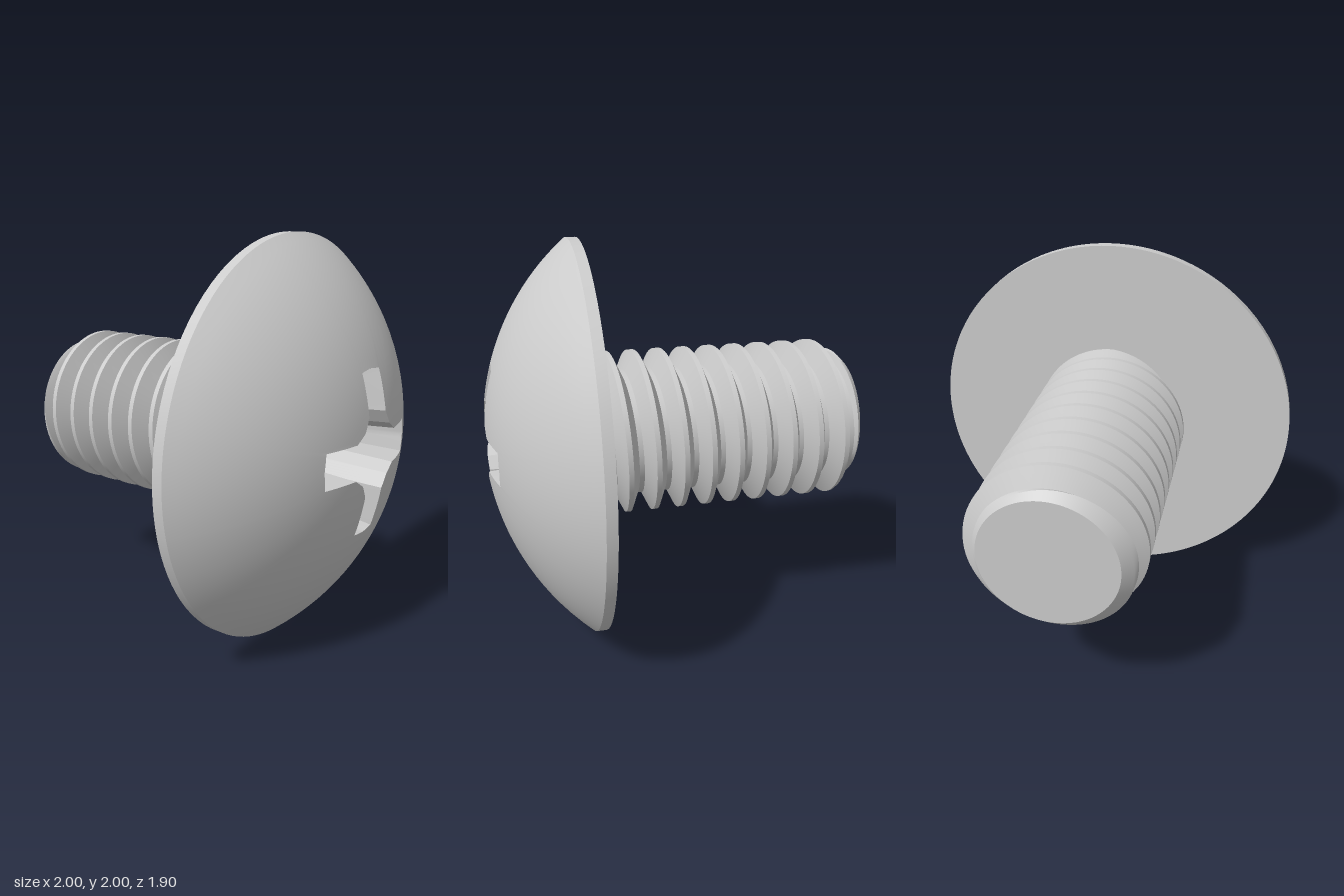
import * as THREE from 'three';
import { toCreasedNormals } from 'three/addons/utils/BufferGeometryUtils.js';

const material = new THREE.MeshStandardMaterial({ color: 0xcccccc });
const TAU = Math.PI * 2;

// Skin a stack of closed loops, each an array of [x, y, z] running counter-clockwise about +z
function skin(loops, crease) {
  const n = loops[0].length, index = [];
  for (let i = 0; i < loops.length - 1; i++) {
    for (let j = 0; j < n; j++) {
      const a = i * n + j, b = i * n + (j + 1) % n;
      index.push(a, a + n, b + n, a, b + n, b);
    }
  }
  const geometry = new THREE.BufferGeometry();
  geometry.setAttribute('position', new THREE.Float32BufferAttribute(loops.flat(2), 3));
  geometry.setIndex(index);
  return toCreasedNormals(geometry, crease);
}

// Four-armed cross from the corners of one quarter, with each edge subdivided
function crossOutline(quarter, steps = 6) {
  const corners = [];
  for (let q = 0; q < 4; q++) {
    const c = Math.round(Math.cos(q * TAU / 4)), s = Math.round(Math.sin(q * TAU / 4));
    for (const [x, y] of quarter) corners.push([x * c - y * s, x * s + y * c]);
  }
  return corners.flatMap(([x, y], i) => {
    const [u, v] = corners[(i + 1) % corners.length];
    return Array.from({ length: steps }, (_, k) => [x + (u - x) * k / steps, y + (v - y) * k / steps]);
  });
}

// Head dimensions
const BACK = 0.44, RIM = 0.49, APEX = 0.957, FLOOR = 0.45;
const SPHERE = (1 + (APEX - RIM) ** 2) / (2 * (APEX - RIM));
const domeZ = (r) => APEX - SPHERE + Math.sqrt(SPHERE ** 2 - r * r);

// Shaft dimensions
const TIP = -0.955, ROOT = 0.33, CREST = 0.425, PITCH = 0.14;
const FLAT = 0.09, FLANK = 0.41; // crest half-width and flank end, as fractions of the pitch

// Thread radius at a height and angle, chamfered at the tip
function threadRadius(z, angle) {
  const turn = (z - 0.313) / PITCH - (angle - TAU / 4) / TAU;
  const d = Math.abs(turn - Math.round(turn));
  const t = THREE.MathUtils.clamp((d - FLAT) / (FLANK - FLAT), 0, 1);
  return Math.min(CREST + (ROOT - CREST) * t, ROOT + Math.max(0, z - TIP));
}

function shaftGeometry() {
  const sides = 96, levels = [];
  const marks = [-FLANK, -FLAT, FLAT, FLANK, 1 - FLANK];
  for (let turn = -12; turn <= 2; turn++) {
    for (let m = 0; m < 4; m++) {
      for (let k = 0; k < 3; k++) levels.push(turn + marks[m] + (marks[m + 1] - marks[m]) * k / 3);
    }
  }
  // Rows follow the helix and are clipped at both ends
  const loops = levels.reverse().map((level) => Array.from({ length: sides }, (_, j) => {
    const angle = j / sides * TAU;
    // Unwrapped rows climb one pitch per turn, so close the loop with a constant level shift below
    const z = THREE.MathUtils.clamp(0.313 + PITCH * (level + (angle - TAU / 4) / TAU), TIP, BACK);
    const r = threadRadius(z, angle);
    return [r * Math.cos(angle), r * Math.sin(angle), z];
  }));
  // The seam joins the end of each row to the row one pitch higher (12 rows earlier)
  const rows = loops.map((loop, i) => {
    const next = loops[Math.max(0, i - 12)][0];
    return [...loop, next];
  });
  const n = sides + 1, index = [];
  for (let i = 0; i < rows.length - 1; i++) {
    for (let j = 0; j < sides; j++) {
      const a = i * n + j;
      index.push(a, a + n, a + n + 1, a, a + n + 1, a + 1);
    }
  }
  const geometry = new THREE.BufferGeometry();
  geometry.setAttribute('position', new THREE.Float32BufferAttribute(rows.flat(2), 3));
  geometry.setIndex(index);
  return toCreasedNormals(geometry, 0.5);
}

export function createModel() {
  const model = new THREE.Group();
  model.name = 'screw';
  const add = (name, geometry) => {
    const mesh = new THREE.Mesh(geometry, material);
    mesh.name = name;
    mesh.position.y = 1;
    model.add(mesh);
    return mesh;
  };

  const mouth = crossOutline([[0.39, -0.085], [0.4, 0], [0.39, 0.085], [0.19, 0.085], [0.125, 0.125], [0.085, 0.19]]);
  const floor = crossOutline([[0.3, -0.052], [0.305, 0], [0.3, 0.052], [0.165, 0.055], [0.095, 0.095], [0.055, 0.165]]);

  // Domed face, spreading from the cross-shaped opening to the round rim
  const rings = 16, dome = [];
  for (let i = 0; i <= rings; i++) {
    dome.push(mouth.map(([x, y]) => {
      const inner = Math.hypot(x, y), r = inner + (1 - inner) * i / rings;
      return [x / inner * r, y / inner * r, domeZ(r)];
    }));
  }
  add('headDome', skin(dome, 0.5));

  // Tapered cross recess
  add('driveRecess', skin([
    floor.map(() => [0, 0, FLOOR]),
    floor.map(([x, y]) => [x, y, FLOOR]),
    dome[0],
  ], 0.25));

  // Rim and flat underside
  const edge = dome[rings];
  add('headRim', skin([
    edge,
    edge.map(([x, y]) => [x, y, BACK]),
    edge.map(([x, y]) => [x * 0.25, y * 0.25, BACK]),
  ], 0.5));

  // Threaded shaft and its flat end
  add('threadedShaft', shaftGeometry());
  const end = add('shaftEnd', new THREE.CircleGeometry(ROOT, 96));
  end.rotation.y = Math.PI;
  end.position.z = TIP;

  return model;
}
